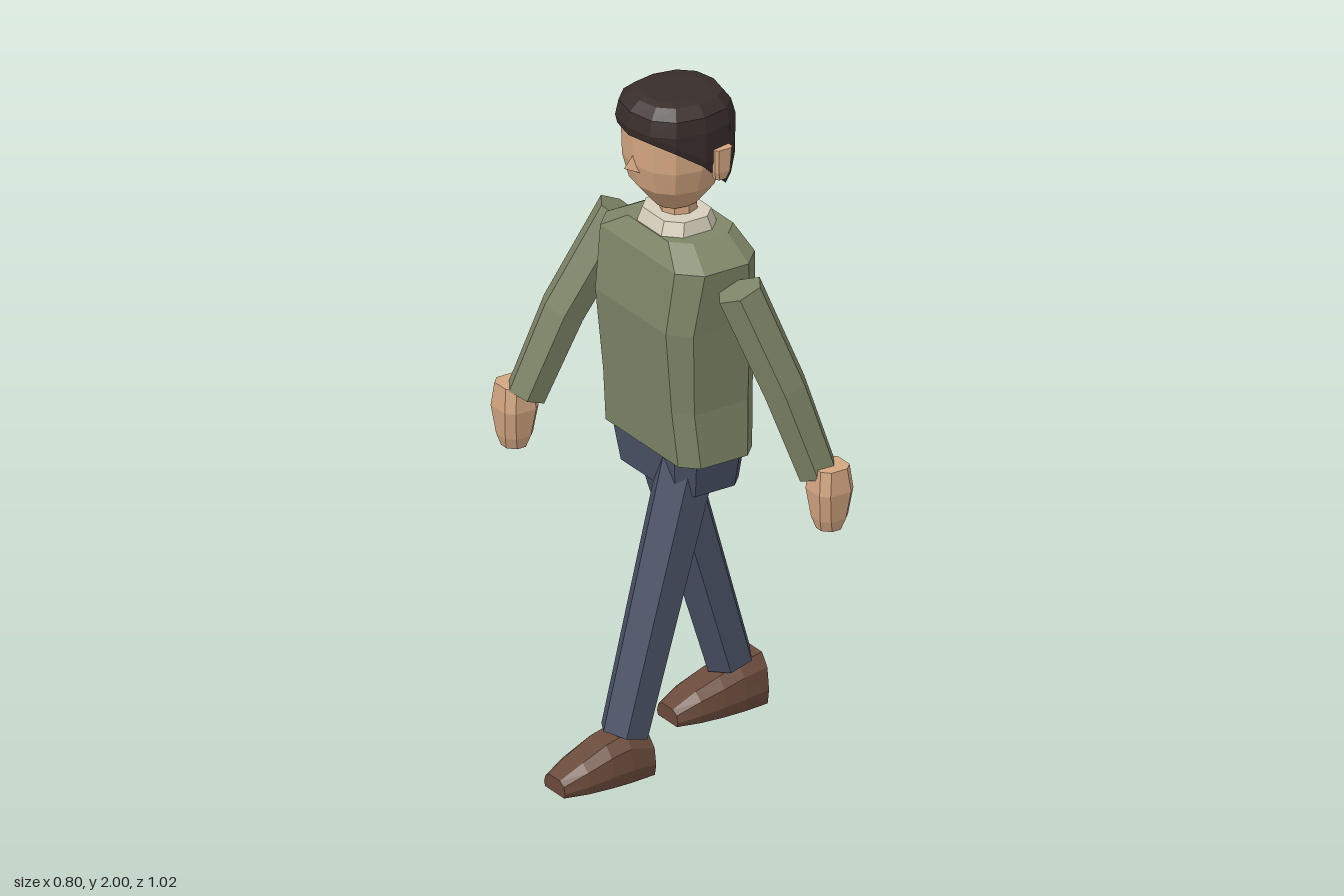
import * as THREE from 'three';
import { ConvexGeometry } from 'three/addons/geometries/ConvexGeometry.js';

const V = (x, y, z) => new THREE.Vector3(x, y, z);
const mat = (color) => new THREE.MeshStandardMaterial({ color, flatShading: true });

// Skin a closed, capped body over rings that share one point count.
function loft(rings) {
  const n = rings[0].length, pos = [], idx = [];
  rings.forEach((r) => r.forEach((p) => pos.push(p.x, p.y, p.z)));
  for (let i = 0; i < rings.length - 1; i++) {
    for (let j = 0; j < n; j++) {
      const a = i * n + j, b = i * n + (j + 1) % n;
      idx.push(a, b, b + n, a, b + n, a + n);
    }
  }
  [0, rings.length - 1].forEach((i) => {
    const c = rings[i].reduce((s, p) => s.add(p), V(0, 0, 0)).divideScalar(n);
    const k = pos.length / 3;
    pos.push(c.x, c.y, c.z);
    for (let j = 0; j < n; j++) {
      const a = i * n + j, b = i * n + (j + 1) % n;
      if (i === 0) idx.push(k, b, a); else idx.push(k, a, b);
    }
  });
  // Signed volume decides whether the winding must be flipped
  const at = (i) => V(pos[3 * i], pos[3 * i + 1], pos[3 * i + 2]);
  let volume = 0;
  for (let i = 0; i < idx.length; i += 3) volume += at(idx[i]).dot(at(idx[i + 1]).cross(at(idx[i + 2])));
  if (volume < 0) idx.reverse();
  const g = new THREE.BufferGeometry();
  g.setAttribute('position', new THREE.Float32BufferAttribute(pos, 3));
  g.setIndex(idx);
  const flat = g.toNonIndexed();
  flat.computeVertexNormals();
  return flat;
}

// Horizontal rectangle with cut corners
function octRing(y, x0, x1, h, c, zc = 0) {
  return [[x0, -h + c], [x0 + c, -h], [x1 - c, -h], [x1, -h + c],
    [x1, h - c], [x1 - c, h], [x0 + c, h], [x0, h - c]].map(([x, z]) => V(x, y, zc + z));
}

// Horizontal rounded ring; y may be a function of x
function ovalRing(y, x0, x1, h, n = 12) {
  const soft = (v) => Math.sign(v) * Math.abs(v) ** 0.85;
  return Array.from({ length: n }, (_, i) => {
    const a = (i / n) * Math.PI * 2;
    const x = (x0 + x1) / 2 - soft(Math.cos(a)) * (x1 - x0) / 2;
    return V(x, typeof y === 'function' ? y(x) : y, soft(Math.sin(a)) * h);
  });
}

// Six-sided limb through a list of joints
function limb(points, radii) {
  return loft(points.map((p, i) => {
    const d = points[Math.min(i + 1, points.length - 1)].clone()
      .sub(points[Math.max(i - 1, 0)]).normalize();
    const u = d.clone().cross(V(0, 0, 1)).normalize();
    const v = d.clone().cross(u);
    return Array.from({ length: 6 }, (_, k) => p.clone()
      .addScaledVector(u, radii[i] * Math.cos(k * Math.PI / 3))
      .addScaledVector(v, radii[i] * Math.sin(k * Math.PI / 3)));
  }));
}

// Shoe cross-section: flat sole, sloping upper
function shoeRing(x, h, w, z) {
  return [[-w * 0.9, 0], [w * 0.9, 0], [w, h * 0.3], [w * 0.88, h * 0.75],
    [w * 0.5, h], [-w * 0.5, h], [-w * 0.88, h * 0.75], [-w, h * 0.3]].map(([dz, y]) => V(x, y, z + dz));
}

export function createModel() {
  const group = new THREE.Group();
  const skin = mat(0xd3a681), sweater = mat(0x7e8567), denim = mat(0x4a5266);
  const hairMat = mat(0x382d2a), leather = mat(0x694a3a), cloth = mat(0xd6cebb);
  const add = (name, geometry, material) => {
    const m = new THREE.Mesh(geometry, material);
    m.name = name;
    group.add(m);
    return m;
  };

  // Body
  add('sweater', loft([
    octRing(0.935, -0.045, 0.2, 0.225, 0.045),
    octRing(1.1, -0.06, 0.207, 0.215, 0.045),
    octRing(1.35, -0.083, 0.215, 0.23, 0.055),
    octRing(1.535, -0.06, 0.205, 0.245, 0.06),
    octRing(1.59, -0.025, 0.19, 0.15, 0.05),
  ]), sweater);
  add('hips', loft([
    octRing(0.825, -0.025, 0.185, 0.175, 0.04),
    octRing(0.96, -0.042, 0.195, 0.2, 0.045),
  ]), denim);
  add('collar', loft([
    octRing(1.58, -0.025, 0.165, 0.107, 0.045),
    octRing(1.63, -0.008, 0.148, 0.095, 0.04),
  ]), cloth);
  add('neck', new THREE.CylinderGeometry(0.052, 0.055, 0.12, 8), skin).position.set(0.075, 1.64, 0);

  // Head
  add('head', loft([
    ovalRing(1.655, 0.005, 0.13, 0.055),
    ovalRing(1.73, -0.058, 0.175, 0.12),
    ovalRing(1.8, -0.075, 0.195, 0.14),
    ovalRing(1.89, -0.078, 0.2, 0.142),
    ovalRing(1.95, -0.06, 0.185, 0.12),
  ]), skin);
  add('nose', new ConvexGeometry([
    V(-0.07, 1.835, 0), V(-0.105, 1.795, 0), V(-0.065, 1.78, 0.022), V(-0.065, 1.78, -0.022), V(-0.05, 1.81, 0),
  ]), skin);

  // Hair: short over the face, long behind the ears
  const hemline = (x) => {
    if (x < -0.04) return 1.895;
    if (x < 0.02) return 1.87;
    return x < 0.1 ? 1.815 : 1.737;
  };
  add('hair', loft([
    ovalRing(hemline, -0.09, 0.213, 0.147),
    ovalRing((x) => Math.max(1.8, hemline(x) + 0.02), -0.094, 0.225, 0.154),
    ovalRing(1.92, -0.095, 0.225, 0.156),
    ovalRing(1.965, -0.085, 0.212, 0.148),
    ovalRing(1.992, -0.055, 0.192, 0.115),
    ovalRing(2.0, -0.035, 0.155, 0.08),
  ]), hairMat);

  for (const s of [1, -1]) {
    const side = s > 0 ? 'left' : 'right';
    const far = s < 0;
    const label = far ? 'forwardArm' : 'rearArm';

    add('ear', loft([
      octRing(1.765, 0.1, 0.138, 0.014, 0.008, s * 0.142),
      octRing(1.79, 0.094, 0.146, 0.018, 0.008, s * 0.144),
      octRing(1.86, 0.092, 0.15, 0.019, 0.008, s * 0.145),
    ]), skin).name = side + 'Ear';

    // Arms swing opposite to the legs
    add(label, limb(far
      ? [V(0.085, 1.495, -0.3), V(-0.055, 1.2, -0.375), V(-0.148, 0.945, -0.42)]
      : [V(0.078, 1.495, 0.3), V(0.178, 1.2, 0.375), V(0.256, 0.94, 0.42)],
    [0.07, 0.067, 0.06]), sweater);

    // Hands
    const hx = far ? -0.163 : 0.272;
    add(label + 'Hand', loft([[0.78, 0.036, 0.035], [0.815, 0.046, 0.045], [0.9, 0.056, 0.057], [0.97, 0.048, 0.05]]
      .map(([y, hw, d]) => octRing(y, hx - hw, hx + hw, d, 0.022, s * 0.455))), skin);

    // Legs in mid stride
    add(far ? 'rearLeg' : 'forwardLeg', limb(far
      ? [V(0.065, 0.95, -0.095), V(0.31, 0.135, -0.1)]
      : [V(0.055, 0.95, 0.095), V(-0.17, 0.125, 0.1)], [0.087, 0.072]), denim);

    // Shoes, toes towards -x
    const heel = far ? 0.395 : -0.11;
    const heights = far ? [0.147, 0.135, 0.112, 0.085, 0.045] : [0.11, 0.137, 0.12, 0.085, 0.045];
    add(far ? 'rearShoe' : 'forwardShoe', loft([[0, 0.07], [0.08, 0.077], [0.145, 0.077], [0.22, 0.07], [0.29, 0.052]]
      .map(([dx, w], i) => shoeRing(heel - dx, heights[i], w, s * 0.098))), leather);
  }
  return group;
}
